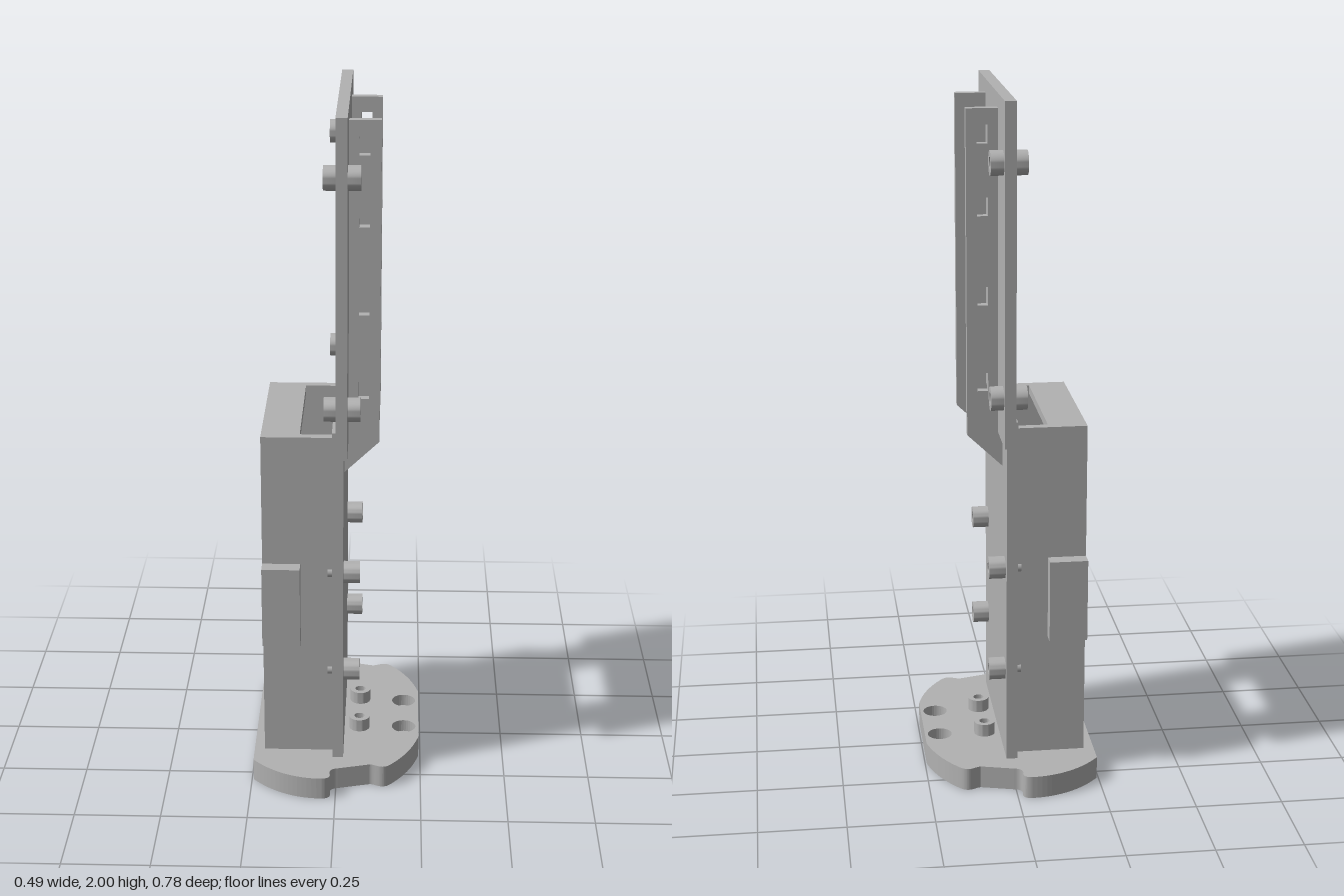
import * as THREE from 'three';
import { toCreasedNormals } from 'three/addons/utils/BufferGeometryUtils.js';

const metal = new THREE.MeshStandardMaterial({ color: 0xb2b2b2 });
metal.name = 'grey metal';

export function createModel() {
  const model = new THREE.Group();
  model.name = 'bracketStand';

  const add = (name, geometry) => {
    const mesh = new THREE.Mesh(geometry, metal);
    mesh.name = name;
    model.add(mesh);
    return mesh;
  };
  const box = (name, x0, x1, y0, y1, z0, z1) =>
    add(name, new THREE.BoxGeometry(x1 - x0, y1 - y0, z1 - z0)
      .translate((x0 + x1) / 2, (y0 + y1) / 2, (z0 + z1) / 2));
  const polygon = (pts) => new THREE.Shape(pts.map(([a, b]) => new THREE.Vector2(a, b)));
  const circle = (x, y, r) => new THREE.Path().absarc(x, y, r, 0, Math.PI * 2, true);
  const extrude = (shape, depth) =>
    new THREE.ExtrudeGeometry(shape, { depth, bevelEnabled: false, curveSegments: 16 });
  // Extrusion along x of an outline drawn in z and y
  const extrudeX = (shape, x0, x1) => extrude(shape, x1 - x0).rotateY(Math.PI / 2).translate(x0, 0, 0);

  // Cylinder with a blind socket in its end, standing on y = 0
  const socketHead = (r, h) => toCreasedNormals(new THREE.LatheGeometry(
    [[0, 0], [r, 0], [r, h], [r / 2, h], [r / 2, h * 0.4], [0, h * 0.4]]
      .map(([a, b]) => new THREE.Vector2(a, b)), 32), 0.6);

  // Base plate: through holes below, wider counterbores above
  const baseLayer = (name, y0, y1, holeRadius) => {
    const s = new THREE.Shape();
    s.moveTo(-0.245, 0.29);
    s.lineTo(-0.245, -0.29);
    s.bezierCurveTo(-0.19, -0.355, -0.12, -0.392, -0.04, -0.392);
    s.bezierCurveTo(-0.018, -0.39, -0.012, -0.378, -0.018, -0.36);
    s.quadraticCurveTo(-0.018, -0.337, 0.005, -0.333);
    s.lineTo(0.1, -0.308);
    s.bezierCurveTo(0.118, -0.308, 0.135, -0.335, 0.16, -0.308);
    s.quadraticCurveTo(0.222, -0.238, 0.245, -0.14);
    s.lineTo(0.245, 0.14);
    s.quadraticCurveTo(0.222, 0.238, 0.16, 0.308);
    s.bezierCurveTo(0.135, 0.335, 0.118, 0.308, 0.1, 0.308);
    s.lineTo(0.005, 0.333);
    s.quadraticCurveTo(-0.018, 0.337, -0.018, 0.36);
    s.bezierCurveTo(-0.012, 0.378, -0.018, 0.39, -0.04, 0.392);
    s.bezierCurveTo(-0.12, 0.392, -0.19, 0.355, -0.245, 0.29);
    for (const x of [-0.05, 0.2]) for (const z of [-0.08, 0.08]) s.holes.push(circle(x, z, holeRadius));
    add(name, extrude(s, y1 - y0).rotateX(-Math.PI / 2).translate(0, y0, 0));
  };
  baseLayer('baseLower', 0, 0.03, 0.02);
  baseLayer('baseUpper', 0.03, 0.067, 0.036);

  // Tower face plate with a notch in its top edge
  add('towerPlate', extrudeX(polygon([
    [-0.268, 0.067], [0.268, 0.067], [0.268, 1.1], [0.127, 1.1],
    [0.127, 0.94], [-0.127, 0.94], [-0.127, 1.1], [-0.268, 1.1],
  ]), -0.012, 0.02));
  box('towerTopBar', -0.215, -0.105, 1.045, 1.07, -0.2, 0.2);

  // Upper panel with a matching notch in its bottom edge
  add('upperPanel', extrudeX(polygon([
    [-0.322, 1.04], [-0.127, 1.04], [-0.127, 1.1], [0.127, 1.1],
    [0.127, 1.04], [0.322, 1.04], [0.322, 2], [-0.322, 2],
  ]), 0, 0.032));

  // Slotted rib outline in x and y
  const rib = polygon([[0.02, 0.94], [0.12, 1.035], [0.12, 1.96], [0.032, 1.96], [0.032, 1.04], [0.02, 1.04]]);
  for (const y of [1.19, 1.438, 1.69, 1.89]) {
    rib.holes.push(polygon([[0.06, y - 0.026], [0.06, y + 0.026], [0.09, y + 0.026], [0.09, y - 0.026]]));
  }

  for (const s of [-1, 1]) {
    const span = (a, b) => (s > 0 ? [a, b] : [-b, -a]);
    box('towerWall', -0.215, -0.012, 0.067, 1.07, ...span(0.2, 0.226));

    // Side block with a hole in its rear face
    box('sideBlock', -0.165, -0.105, 0.433, 0.678, ...span(0.226, 0.268));
    const rear = polygon([[-0.021, 0.433], [0.021, 0.433], [0.021, 0.678], [-0.021, 0.678]]);
    rear.holes.push(circle(0, 0.555, 0.011));
    add('sideBlockRear', extrudeX(rear, -0.215, -0.165)).position.z = s * 0.247;

    add('rib', extrude(rib, 0.027)).position.z = s * 0.15 - 0.0135;

    // Screws on the base
    add('baseScrew', socketHead(0.031, 0.038)).position.set(0.065, 0.067, s * 0.085);

    // Screws on the tower, their shanks showing behind the plate
    for (const y of [0.335, 0.65]) {
      add('towerScrew', socketHead(0.032, 0.047).rotateZ(-Math.PI / 2)).position.set(0.02, y, s * 0.215);
      add('towerScrewShank', new THREE.CylinderGeometry(0.016, 0.016, 0.03, 24).rotateZ(Math.PI / 2))
        .position.set(-0.012, y, s * 0.215);
    }

    // Spacers on both faces of the upper panel
    for (const y of [1.175, 1.83]) {
      add('panelScrewFront', socketHead(0.034, 0.036).rotateZ(-Math.PI / 2)).position.set(0.032, y, s * 0.277);
      add('panelScrewBack', socketHead(0.034, 0.034).rotateZ(Math.PI / 2)).position.set(0, y, s * 0.277);
    }
  }
  return model;
}
